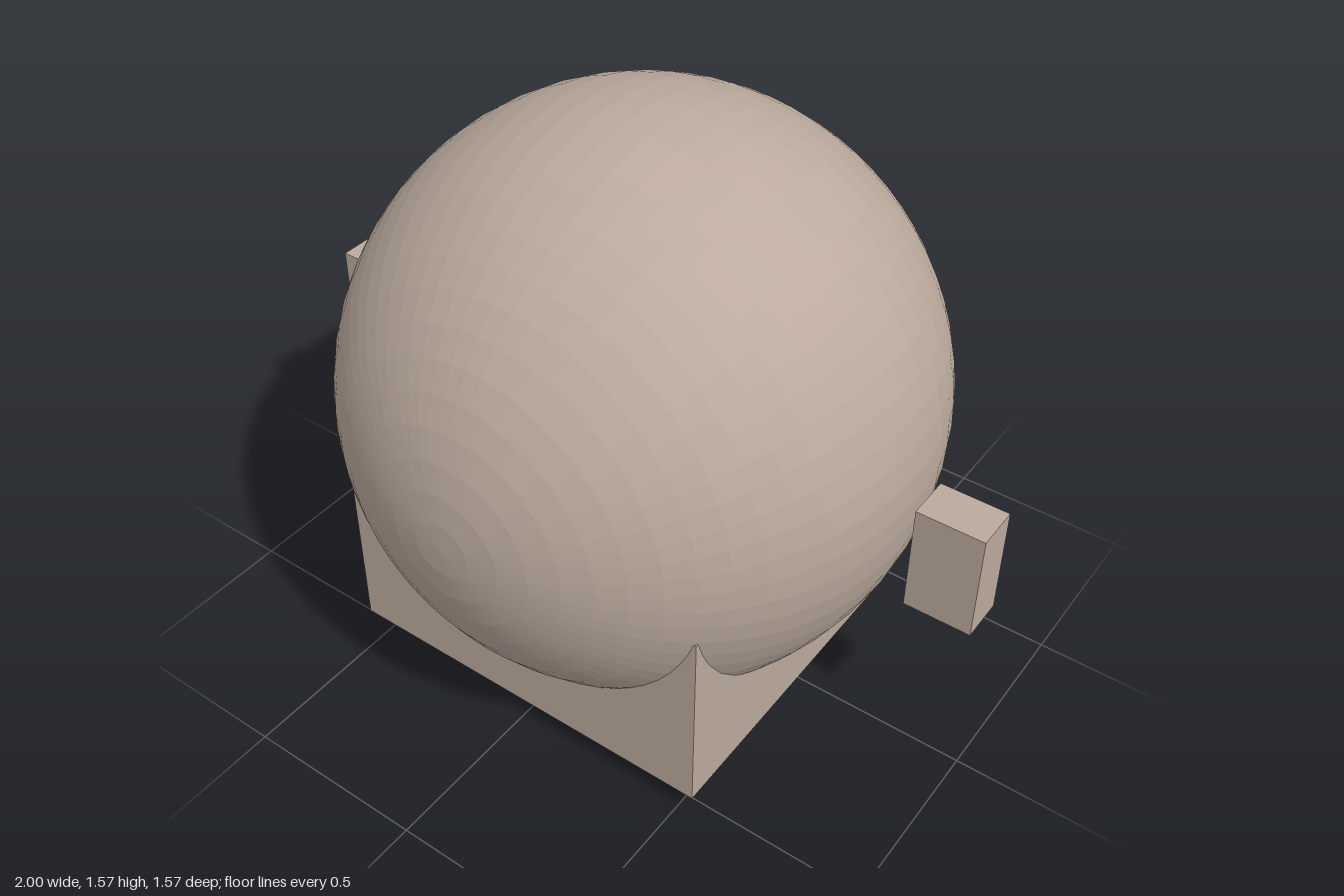
import * as THREE from 'three';

export function createModel() {
  const model = new THREE.Group();
  model.name = 'roundBody';
  const material = new THREE.MeshStandardMaterial({ color: 0xbbaa9d, flatShading: true });

  const add = (name, geometry, x, y, z) => {
    const mesh = new THREE.Mesh(geometry, material);
    mesh.name = name;
    mesh.position.set(x, y, z);
    model.add(mesh);
    return mesh;
  };

  // Faceted ball with its poles at front and back
  const R = 0.786;
  add('body', new THREE.SphereGeometry(R, 64, 32).rotateX(Math.PI / 2), 0, R, 0);

  // Square base that the ball sinks into, set slightly forward
  add('base', new THREE.BoxGeometry(1.09, 0.545, 0.97), 0, 0.338, 0.06);

  // Side blocks floating just off the ball
  for (const side of [-1, 1]) {
    add(side > 0 ? 'leftArm' : 'rightArm',
      new THREE.BoxGeometry(0.18, 0.3, 0.122), side * 0.91, 0.668, 0);
  }

  return model;
}
